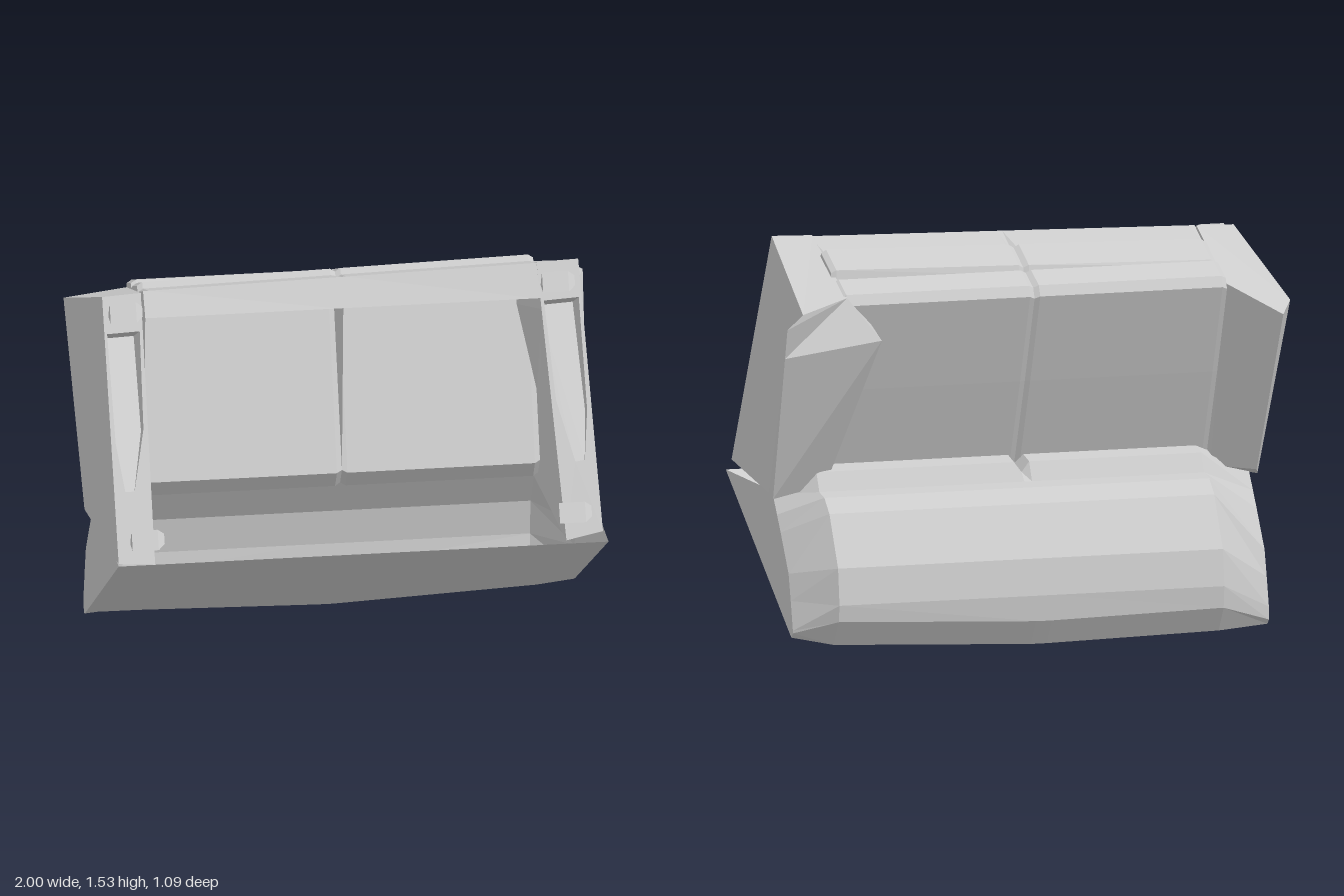
import * as THREE from 'three';

const fabric = new THREE.MeshStandardMaterial({ color: 0xcccccc, side: THREE.DoubleSide });
fabric.name = 'light grey fabric';

// Flat-faced mesh from a list of triangles, each three [x, y, z] corners
function facets(name, triangles) {
  const geometry = new THREE.BufferGeometry();
  geometry.setAttribute('position', new THREE.Float32BufferAttribute(triangles.flat(2), 3));
  geometry.computeVertexNormals();
  const mesh = new THREE.Mesh(geometry, fabric);
  mesh.name = name;
  return mesh;
}

// Skin between consecutive cross-sections; skip leaves one side of the loop open
function loft(sections, { closed = true, skip = -1 } = {}) {
  const tris = [];
  const n = sections[0].length;
  for (let s = 0; s < sections.length - 1; s++) {
    const a = sections[s], b = sections[s + 1];
    for (let i = 0; i < (closed ? n : n - 1); i++) {
      if (i === skip) continue;
      const j = (i + 1) % n;
      tris.push([a[i], a[j], b[j]], [a[i], b[j], b[i]]);
    }
  }
  // End caps
  const a = sections[0], b = sections[sections.length - 1];
  for (let i = 1; i < n - 1; i++) {
    tris.push([a[0], a[i + 1], a[i]], [b[0], b[i], b[i + 1]]);
  }
  return tris;
}

const mix = (a, b, t) => a.map((v, i) => v + (b[i] - v) * t);

// Arm sections run: outer top, flared tip, inner top, bottom inner, bottom outer
function makeArm(name, sections, isRightHand) {
  const front = sections[0], rear = sections[sections.length - 1];
  const body = loft(isRightHand ? sections : [...sections].reverse(), { skip: 3 });

  // Underside with a tongue-shaped recess, mapped across (s) and along (t) the arm
  const place = ([s, t]) => mix(mix(front[3], front[4], s), mix(rear[3], rear[4], s), t);
  const outline = [[0, 0], [1, 0], [1, 1], [0, 1]];
  const tongue = [[0.08, 0.14], [0.93, 0.14], [0.88, 0.55], [0.7, 0.73], [0.45, 0.73], [0.12, 0.5]];
  const toVec = (p) => new THREE.Vector2(p[0], p[1]);
  const all = [...outline, ...tongue];
  const order = (tri) => (isRightHand ? tri : [tri[0], tri[2], tri[1]]);
  for (const f of THREE.ShapeUtils.triangulateShape(outline.map(toVec), [tongue.map(toVec)])) {
    body.push(order(f.map((i) => place(all[i]))));
  }

  // Recess walls and sloping floor
  const rim = tongue.map(place);
  const floor = tongue.map((p) => {
    const depth = 0.18 * (0.75 - p[1]) / 0.61;
    const [x, y, z] = place(p);
    return [x, y - 0.44 * depth, z - 0.9 * depth];
  });
  for (let i = 0; i < rim.length; i++) {
    const j = (i + 1) % rim.length;
    body.push(order([rim[i], rim[j], floor[j]]), order([rim[i], floor[j], floor[i]]));
  }
  for (let i = 1; i < floor.length - 1; i++) body.push(order([floor[0], floor[i], floor[i + 1]]));
  return facets(name, body);
}

// Small wedge foot
function makeFoot(x, y, z) {
  const profile = [[0.035, -0.035], [-0.035, -0.03], [0, 0.035]];
  const section = (dx, k) => profile.map(([pz, py]) => [x + dx, y + py * k, z + pz * k]);
  return facets('foot', loft([section(-0.06, 1), section(0.04, 1), section(0.065, 0.5)]));
}

export function createModel() {
  const model = new THREE.Group();
  model.name = 'tippedSofa';

  // Two seat halves: recessed underside, front rim, base and two stepped cushions
  const seatProfile = [
    [0.08, 0.72], [0.03, 0.65], [-0.12, 0.63], [-0.27, 0.98], [-0.41, 1.33], [-0.39, 1.37],
    [-0.28, 1.41], [-0.26, 1.39], [-0.25, 1.425], [-0.11, 1.48], [-0.09, 1.455],
    [-0.08, 1.465], [0.05, 1.505], [0.11, 1.4], [-0.16, 1.39],
  ];
  const seatSection = (x, k) => seatProfile.map(([z, y], i) => {
    const s = i > 11 && i < 14 ? 1 : k; // the rim runs straight across
    return [x, 1.05 + (y - 1.05) * s + (y > 1.42 ? 0.022 * x : 0), -0.12 + (z + 0.12) * s];
  });
  for (const [name, x0, x1] of [['rightSeat', -0.77, -0.01], ['leftSeat', -0.01, 0.75]]) {
    model.add(facets(name, loft([
      seatSection(x0, 0.97), seatSection(x0 + 0.02, 1), seatSection(x1 - 0.02, 1), seatSection(x1, 0.97),
    ])));
  }

  // Backrest: open shell with a rolled top and bevelled ends
  const backProfile = [
    [0.51, 0.55], [-0.37, 0.02], [-0.46, 0], [-0.53, 0.1], [-0.54, 0.2], [-0.52, 0.34],
    [-0.4, 0.53], [-0.33, 0.58], [-0.26, 0.59], [-0.22, 0.66], [-0.1, 0.68],
  ];
  const endProfile = [
    [0.51, 0.55], [-0.36, 0.06], [-0.4, 0.04], [-0.42, 0.06], [-0.42, 0.09], [-0.39, 0.2],
    [-0.36, 0.3], [-0.25, 0.44], [-0.2, 0.5], [-0.14, 0.57], [-0.12, 0.58],
  ];
  const section = (profile, x, lift, seam = 0) => profile.map(([z, y], i) => [
    x, y + (i > 0 && i < 4 ? lift : 0) - (i > 8 ? seam : 0), z,
  ]);
  model.add(facets('backrest', loft([
    section(endProfile, -0.93, -0.02), section(backProfile, -0.72, 0.015), section(backProfile, -0.04, 0),
    section(backProfile, -0.01, 0, 0.04), section(backProfile, 0.02, 0), section(backProfile, 0.8, 0.035),
    section(endProfile, 0.95, 0.02),
  ], { closed: false })));

  // Arms with flared tops; the left one also bulges in over the seat
  const leftFront = [[0.93, 1.32, -0.49], [1, 1.27, -0.52], [0.73, 1.36, -0.4], [0.74, 1.525, 0.05], [0.9, 1.53, 0.05]];
  const leftRear = [[0.96, 0.57, -0.12], [0.98, 0.57, -0.25], [0.75, 0.6, -0.17], [0.79, 0.56, 0.5], [0.93, 0.59, 0.5]];
  const leftBulge = leftFront.map((p, i) => (i === 2 ? [0.61, 1.2, -0.46] : mix(p, leftRear[i], 0.17)));
  model.add(makeArm('leftArm', [leftFront, leftBulge, leftRear], false));
  model.add(makeArm('rightArm', [
    [[-1, 1.28, -0.47], [-0.95, 1.24, -0.55], [-0.77, 1.34, -0.39], [-0.78, 1.485, 0.06], [-0.93, 1.48, 0.07]],
    [[-0.97, 0.55, -0.12], [-0.93, 0.59, -0.25], [-0.77, 0.6, -0.17], [-0.79, 0.55, 0.51], [-0.93, 0.56, 0.51]],
  ], true));

  // Feet on the underside
  for (const [x, y, z] of [[-0.85, 1.44, 0.13], [0.81, 1.475, 0.125], [-0.82, 0.655, 0.505], [0.82, 0.68, 0.505]]) {
    model.add(makeFoot(x, y, z));
  }
  return model;
}
